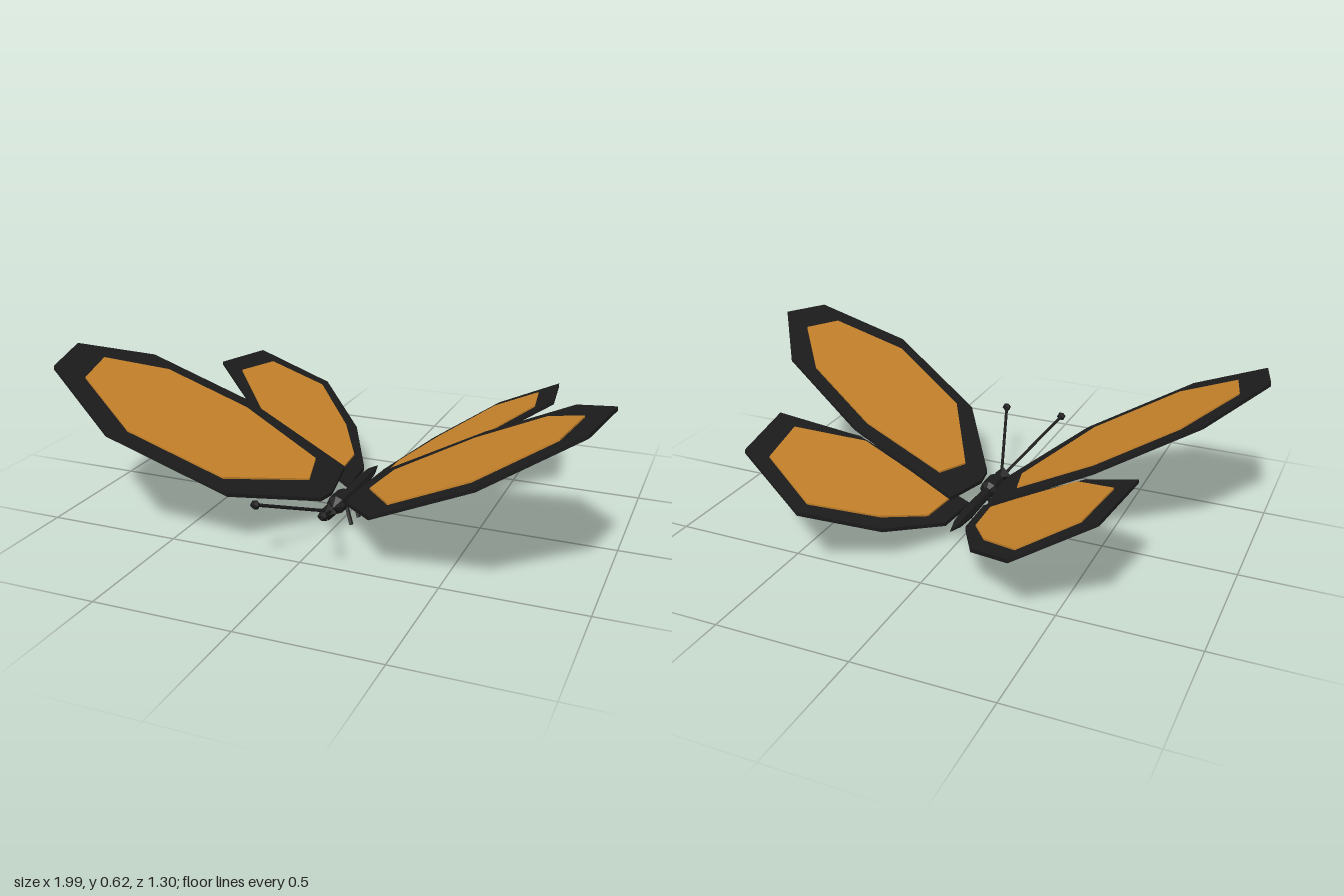
import * as THREE from 'three';

const black = new THREE.MeshStandardMaterial({ color: 0x1c1c1d, flatShading: true });
black.name = 'charcoal black';
const orange = new THREE.MeshStandardMaterial({ color: 0xc8842b, flatShading: true });
orange.name = 'amber orange';

const SLOPE = 0.54; // rise of the wings per unit of span

// Outlines as [x, z] points of the left wing pair
const WINGS = [
  {
    name: 'foreWing', base: 0.073,
    rim: [[0.075, -0.09], [0.48, -0.09], [0.825, 0.035], [0.997, 0.285], [0.95, 0.5], [0.65, 0.647], [0.26, 0.522], [0.05, 0.2], [0.04, 0.12]],
    panel: [[0.16, -0.005], [0.46, -0.025], [0.74, 0.075], [0.895, 0.27], [0.855, 0.45], [0.615, 0.567], [0.305, 0.465], [0.12, 0.145]],
  },
  {
    name: 'hindWing', base: 0.05,
    rim: [[0.03, -0.02], [0.04, -0.21], [0.17, -0.455], [0.387, -0.653], [0.65, -0.555], [0.69, -0.265], [0.455, -0.09]],
    panel: [[0.085, -0.077], [0.095, -0.24], [0.2, -0.41], [0.385, -0.59], [0.58, -0.51], [0.615, -0.29], [0.425, -0.1]],
  },
];

// Flat plate from an outline, tilted upward away from the body
function plate(points, side, base, thickness) {
  const shape = new THREE.Shape(points.map(([x, z]) => new THREE.Vector2(side * x, -z)));
  const geo = new THREE.ExtrudeGeometry(shape, { depth: thickness, bevelEnabled: false });
  geo.rotateX(-Math.PI / 2);
  const p = geo.attributes.position;
  for (let i = 0; i < p.count; i++) p.setY(i, p.getY(i) + base + SLOPE * Math.abs(p.getX(i)));
  geo.computeVertexNormals();
  return geo;
}

// Thin rod between two points
function rod(a, b, radius) {
  const from = new THREE.Vector3(...a), to = new THREE.Vector3(...b);
  const dir = to.clone().sub(from);
  const geo = new THREE.CylinderGeometry(radius, radius, dir.length(), 6);
  geo.applyQuaternion(new THREE.Quaternion().setFromUnitVectors(new THREE.Vector3(0, 1, 0), dir.normalize()));
  const mid = from.add(to).multiplyScalar(0.5);
  return geo.translate(mid.x, mid.y, mid.z);
}

// Round body section along z from [radius, z] points
function bodySection(profile, sides, y) {
  const geo = new THREE.LatheGeometry(profile.map(([r, z]) => new THREE.Vector2(r, z)), sides);
  return geo.rotateX(Math.PI / 2).translate(0, y, 0);
}

export function createModel() {
  const model = new THREE.Group();
  model.name = 'butterfly';
  const add = (name, geometry, material = black) => {
    const mesh = new THREE.Mesh(geometry, material);
    mesh.name = name;
    model.add(mesh);
  };

  // Body
  add('abdomen', bodySection([[0, -0.26], [0.017, -0.19], [0.024, -0.1], [0.022, 0], [0.02, 0.09]], 8, 0.08));
  add('thorax', bodySection([[0, 0.072], [0.036, 0.098], [0.036, 0.178], [0, 0.207]], 8, 0.084));
  add('head', new THREE.OctahedronGeometry(0.034).translate(0, 0.085, 0.246));

  for (const [side, label] of [[1, 'left'], [-1, 'right']]) {
    // Wings with coloured panels on the upper face
    for (const w of WINGS) {
      add(`${label} ${w.name}`, plate(w.rim, side, w.base, 0.014));
      add(`${label} ${w.name} panel`, plate(w.panel, side, w.base + 0.014, 0.007), orange);
    }

    // Antennae with small knobs
    const tip = [side * 0.123, 0.229, 0.579];
    add(`${label} antenna`, rod([side * 0.008, 0.09, 0.25], tip, 0.006));
    add(`${label} antennaKnob`, new THREE.IcosahedronGeometry(0.018).translate(...tip));

    // Legs
    [['front', 0.157], ['rear', 0.084]].forEach(([place, z]) => {
      add(`${label} ${place} leg`, rod([side * 0.015, 0.08, z - 0.035], [side * 0.053, 0.006, z], 0.008));
    });
  }
  return model;
}
